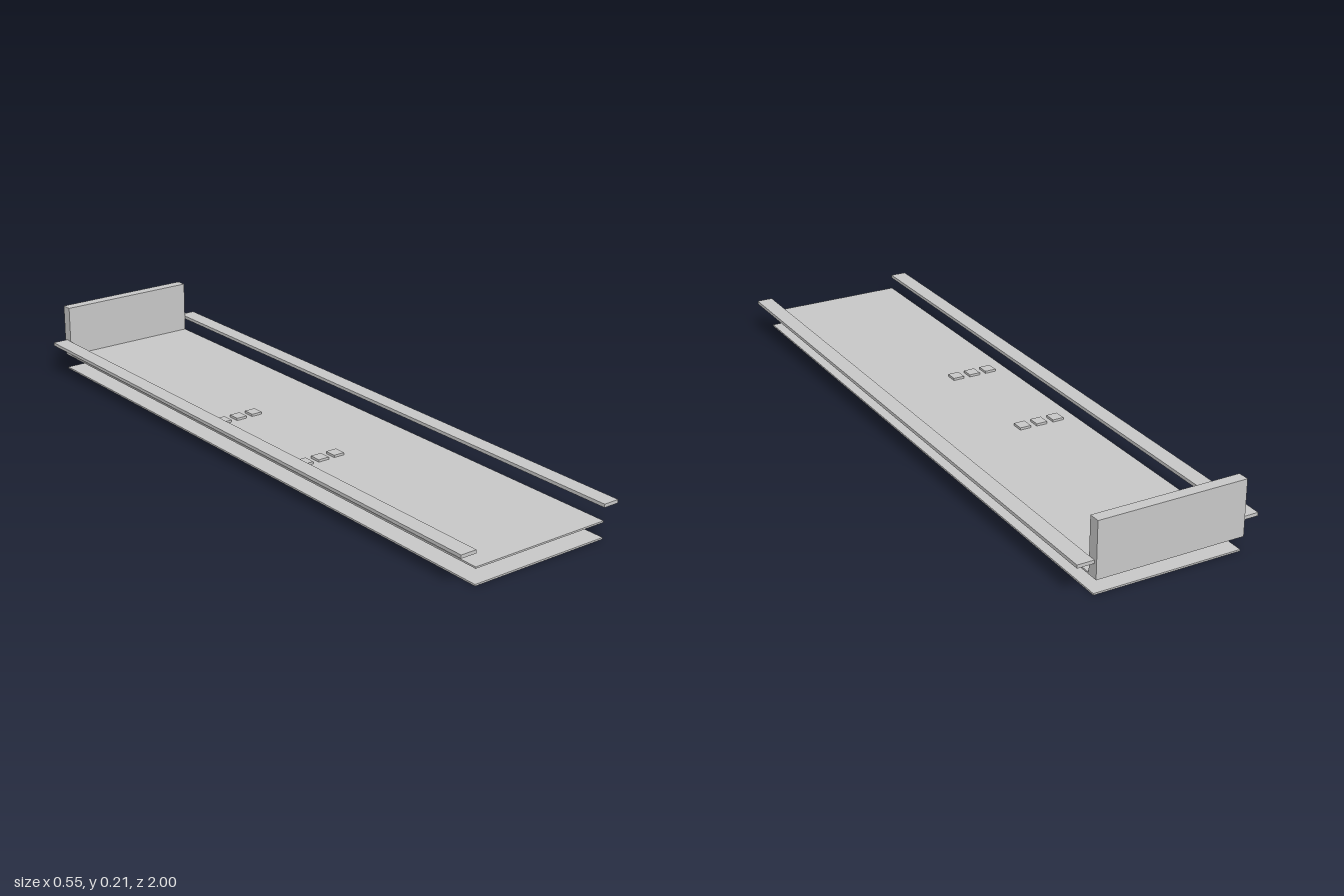
import * as THREE from 'three';

export function createModel() {
  const group = new THREE.Group();
  const grey = new THREE.MeshStandardMaterial({ color: 0xc7c7c7 });
  grey.name = 'light grey';

  // Box given by its lower and upper limits on each axis
  function box(name, [x0, x1], [y0, y1], [z0, z1]) {
    const mesh = new THREE.Mesh(new THREE.BoxGeometry(x1 - x0, y1 - y0, z1 - z0), grey);
    mesh.position.set((x0 + x1) / 2, (y0 + y1) / 2, (z0 + z1) / 2);
    mesh.name = name;
    group.add(mesh);
  }

  const width = [-0.224, 0.224];
  const length = [-0.99, 1];

  // Two thin decks, one above the other
  box('lowerDeck', width, [0, 0.005], length);
  box('upperDeck', width, [0.048, 0.053], length);

  // Upright board at the back end
  box('endBoard', width, [0.048, 0.214], [-1, -0.966]);

  // Side rails
  box('leftRail', [0.224, 0.274], [0.09, 0.1], length);
  box('rightRail', [-0.274, -0.224], [0.09, 0.1], length);

  // Two rows of three small blocks set through the upper deck
  for (const z of [0.225, -0.174]) {
    for (const x of [-0.165, -0.11, -0.055]) {
      box('deckBlock', [x - 0.0175, x + 0.0175], [0.04, 0.06], [z - 0.0185, z + 0.0185]);
    }
  }
  return group;
}
